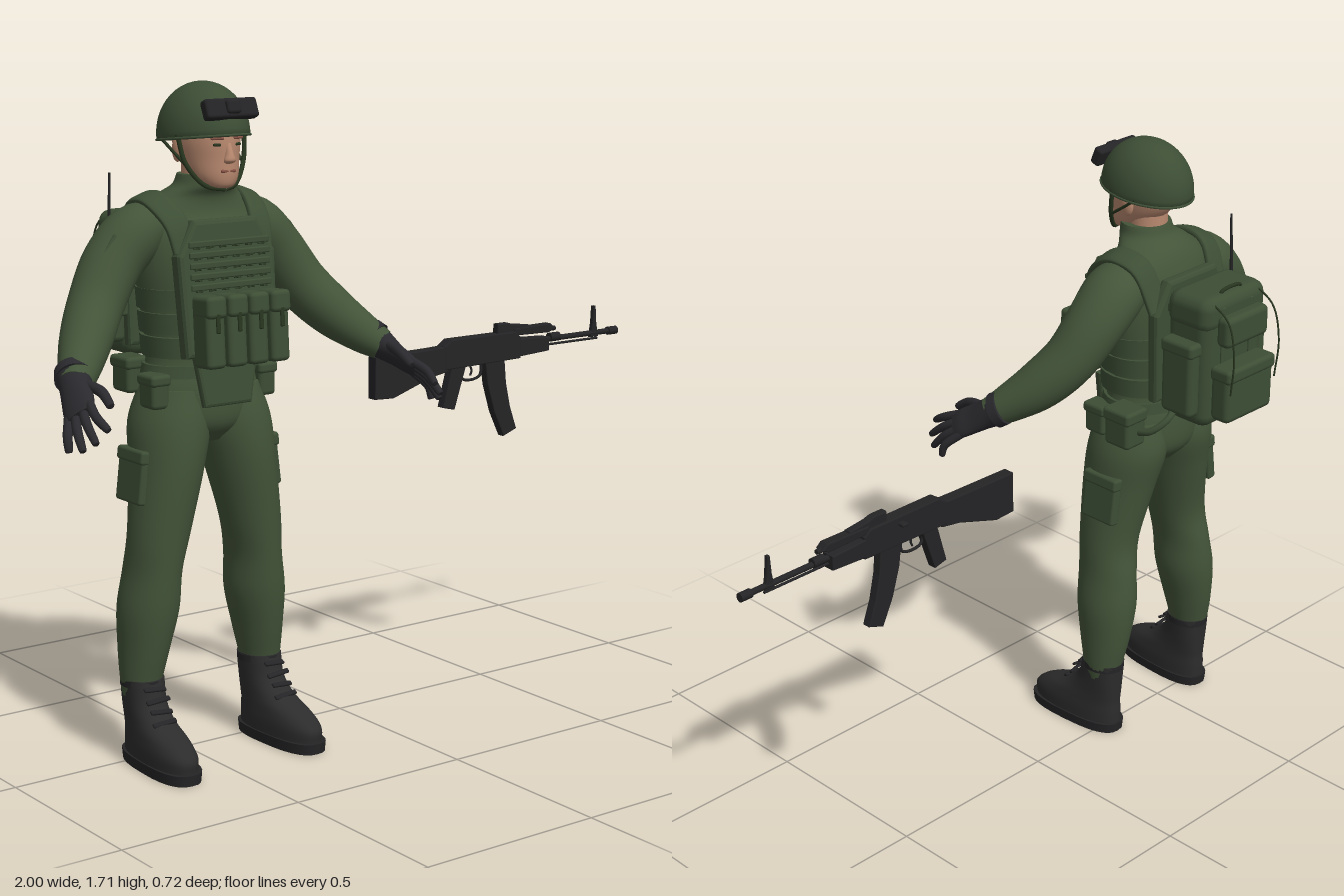
import * as THREE from 'three';
import { RoundedBoxGeometry } from 'three/addons/geometries/RoundedBoxGeometry.js';

const paint = (name, color) => Object.assign(new THREE.MeshStandardMaterial({ color }), { name });
const M = {
  cloth: paint('uniform green', 0x435439),
  gear: paint('gear green', 0x3d4e35),
  trim: paint('dark green trim', 0x28351f),
  skin: paint('skin', 0xba8a70),
  lip: paint('lips', 0x8a5548),
  black: paint('boot black', 0x2c2c2d),
  glove: paint('glove black', 0x2a2a2e),
  gun: paint('gun metal', 0x242426),
};
const V = (x, y, z) => new THREE.Vector3(x, y, z);

function add(parent, name, geo, mat, pos = [0, 0, 0], rot = [0, 0, 0]) {
  const m = new THREE.Mesh(geo, mat);
  m.name = name;
  m.position.set(...pos);
  m.rotation.set(...rot);
  parent.add(m);
  return m;
}
const box = (p, name, mat, size, pos, rot, r = 0.008) =>
  add(p, name, new RoundedBoxGeometry(...size, 2, Math.min(r, Math.min(...size) * 0.45)), mat, pos, rot);
const tube = (p, name, mat, pts, r, n = 24) =>
  add(p, name, new THREE.TubeGeometry(new THREE.CatmullRomCurve3(pts.map((q) => V(...q))), n, r, 8), mat);

// Smooth skin over elliptical sections [x, y, z, a, b]; without ref the rings stay level
function loft(secs, { ref = null, steps = 5, n = 28, e = 1 } = {}) {
  if (secs.length === 2) secs = [secs[0], secs[0].map((v, i) => (v + secs[1][i]) / 2), secs[1]];
  const path = new THREE.CatmullRomCurve3(secs.map((s) => V(s[0], s[1], s[2])), false, 'catmullrom');
  const radii = new THREE.CatmullRomCurve3(secs.map((s) => V(s[3], s[4], 0)), false, 'catmullrom');
  const rows = (secs.length - 1) * steps, pos = [], idx = [];
  const pw = (v) => Math.sign(v) * Math.abs(v) ** e;
  const level = V(0, Math.sign(secs.at(-1)[1] - secs[0][1]), 0);
  for (let i = 0; i <= rows; i++) {
    const c = path.getPoint(i / rows), r = radii.getPoint(i / rows);
    const t = ref ? path.getTangent(i / rows) : level;
    const u = V().crossVectors(t, ref || V(0, 0, 1)).normalize(), w = V().crossVectors(t, u);
    for (let j = 0; j < n; j++) {
      const a = (j / n) * Math.PI * 2;
      const q = c.clone().addScaledVector(u, r.x * pw(Math.cos(a))).addScaledVector(w, r.y * pw(Math.sin(a)));
      pos.push(q.x, q.y, q.z);
      const k = (j + 1) % n, o = i * n;
      if (i < rows) idx.push(o + j, o + k, o + n + k, o + j, o + n + k, o + n + j);
    }
  }
  // End caps with their own vertices so the edges stay sharp
  for (const [row, turn] of [[0, 1], [rows, 0]]) {
    const c = pos.length / 3;
    pos.push(...path.getPoint(row / rows).toArray(), ...pos.slice(row * n * 3, (row + 1) * n * 3));
    for (let j = 0; j < n; j++) {
      const k = (j + 1) % n;
      idx.push(c, c + 1 + (turn ? k : j), c + 1 + (turn ? j : k));
    }
  }
  const g = new THREE.BufferGeometry();
  g.setAttribute('position', new THREE.Float32BufferAttribute(pos, 3));
  g.setIndex(idx);
  g.computeVertexNormals();
  return g;
}

// Flat outline with thickness, centred on z
function plate(p, name, mat, pts, depth, pos, rot, bevel = 0.004) {
  const g = new THREE.ExtrudeGeometry(new THREE.Shape(pts.map((q) => new THREE.Vector2(...q))),
    { depth: depth - bevel * 2, bevelSize: bevel, bevelThickness: bevel, bevelOffset: -bevel, bevelSegments: 2 });
  return add(p, name, g.translate(0, 0, bevel - depth / 2), mat, pos, rot);
}

function buildBody(g) {
  add(g, 'torso', loft([[0, .82, .01, .05, .07], [0, .87, .01, .15, .11], [0, .95, .01, .162, .115], [0, 1.03, .01, .142, .105],
    [0, 1.12, .01, .15, .11], [0, 1.25, .012, .17, .118], [0, 1.34, .01, .174, .11], [0, 1.395, .005, .16, .09],
    [0, 1.435, .015, .115, .078], [0, 1.462, .04, .08, .07], [0, 1.49, .047, .07, .064]]), M.cloth);
  for (const s of [1, -1]) {
    add(g, 'leg', loft([[.085, .96, .01, .07, .1], [.092, .87, .012, .098, .117], [.109, .76, .025, .09, .108], [.138, .6, .032, .077, .088],
      [.153, .5, .022, .069, .09], [.163, .4, .014, .075, .09], [.174, .3, .009, .063, .077], [.182, .22, .007, .053, .06],
      [.185, .17, .007, .045, .05]].map(([x, ...r]) => [x * s, ...r])), M.cloth);
    add(g, 'arm', loft([[.1, 1.365, 0, .055, .068], [.17, 1.345, -.003, .075, .084], [.24, 1.28, 0, .074, .08], [.305, 1.188, .028, .069, .073],
      [.365, 1.115, .08, .064, .067], [.42, 1.06, .14, .052, .052], [.455, 1.03, .18, .04, .04]]
      .map(([x, ...r]) => [x * s, ...r]), { ref: V(0, 0.3, 1) }), M.cloth);
    box(g, 'sleevePocket', M.gear, [.012, .1, .07], [s * .283, 1.315, .015], [0, 0, s * .66]);
    box(g, 'cargoPocket', M.gear, [.03, .13, .115], [s * .195, .74, .01], [0, 0, s * .12]);
    box(g, 'cargoFlap', M.gear, [.034, .035, .12], [s * .192, .795, .01], [0, 0, s * .12]);
    buildHand(g, s);
    buildBoot(g, s);
  }
}

function buildHand(g, s) {
  // f runs to the fingertips, w towards the thumb, n out of the back of the hand
  const d = V(.37, -.49, .79), w = V(-.538, .574, .608), n = V(.75, .65, .05);
  const P = (f, a, b = 0) => {
    const q = V(.455, 1.03, .18).addScaledVector(d, f).addScaledVector(w, a).addScaledVector(n, b);
    return [q.x * s, q.y, q.z];
  };
  const ref = V(n.x * s, n.y, n.z);
  add(g, 'glove', loft([[...P(-.035, 0), .047, .045], [...P(0, 0), .042, .037], [...P(.05, 0), .043, .025],
    [...P(.09, 0), .043, .02], [...P(.115, 0), .036, .013]], { ref, n: 20 }), M.glove);
  add(g, 'gloveCuff', loft([[...P(-.045, 0), .047, .047], [...P(-.02, 0), .049, .047]], { ref, steps: 2 }), M.glove);
  const finger = (name, a, b, c, r) => add(g, name,
    loft([[...a, r, r], [...b, r, r], [...c, r * .8, r * .8], [...c.map((v, i) => v + (c[i] - b[i]) * .12), r * .3, r * .3]], { ref, n: 10, steps: 4 }), M.glove);
  [.19, .205, .2, .175].forEach((len, i) => {
    const a = .031 - i * .021;
    finger('finger', P(.095, a), P(.15, a * 1.35, -.002), P(len, a * 1.8, -.02), .0115);
  });
  finger('thumb', P(.025, .03), P(.07, .062, -.01), P(.115, .072, -.022), .013);
}

function buildBoot(g, s) {
  const b = new THREE.Group();
  b.name = 'boot';
  b.position.x = s * .18;
  b.rotation.y = s * .05;
  g.add(b);
  add(b, 'bootUpper', loft([[0, .025, .1, .056, .148], [0, .06, .1, .056, .148], [0, .09, .08, .053, .126], [0, .12, .043, .05, .09],
    [0, .16, .018, .05, .067], [0, .22, .008, .052, .06]], { e: .85 }), M.black);
  add(b, 'sole', loft([[0, 0, .102, .058, .154], [0, .028, .102, .06, .157]], { steps: 1, e: .75 }), M.gun);
  for (let i = 0; i < 5; i++)
    box(b, 'lace', M.gun, [.065, .008, .014], [0, .1 + i * .025, .138 - i * .016], [.6, 0, (i % 2 - .5) * .25]);
  add(b, 'bootCollar', loft([[0, .2, .008, .054, .062], [0, .218, .008, .054, .062]], { steps: 1 }), M.gun);
}

function buildHead(g) {
  add(g, 'neck', new THREE.CylinderGeometry(.052, .052, .12, 24), M.skin, [0, 1.53, .038]);
  add(g, 'head', loft([[0, 1.457, .12, .02, .02], [0, 1.467, .11, .04, .042], [0, 1.49, .09, .057, .068], [0, 1.53, .066, .068, .093],
    [0, 1.58, .055, .075, .105], [0, 1.64, .05, .07, .1], [0, 1.67, .05, .045, .06]]), M.skin);
  add(g, 'nose', loft([[0, 1.572, .15, .008, .01], [0, 1.545, .157, .011, .014], [0, 1.528, .16, .016, .014], [0, 1.52, .155, .01, .008]], { n: 12 }), M.skin);
  box(g, 'mouth', M.lip, [.042, .009, .009], [0, 1.502, .154]);
  for (const s of [1, -1]) {
    box(g, 'eye', M.trim, [.02, .007, .008], [s * .03, 1.566, .151], [0, s * .3, 0]);
    box(g, 'brow', M.lip, [.034, .008, .009], [s * .03, 1.582, .152], [0, s * .3, 0]);
    add(g, 'ear', new THREE.SphereGeometry(1, 12, 10), M.skin, [s * .076, 1.55, .045]).scale.set(.01, .03, .02);
    tube(g, 'chinStrap', M.trim, [[s * .098, 1.59, .08], [s * .085, 1.52, .095], [s * .045, 1.466, .12], [0, 1.456, .14]], .006);
    tube(g, 'napeStrap', M.trim, [[s * .098, 1.58, .0], [s * .09, 1.545, .05], [s * .083, 1.515, .095]], .004);
  }
  // Helmet shell with real thickness, tipped back a little
  const h = new THREE.Group();
  h.name = 'helmet';
  h.position.set(0, 1.585, .045);
  h.rotation.x = -.1;
  g.add(h);
  const arc = (r, from, to) => Array.from({ length: 13 }, (_, i) => {
    const a = from + (to - from) * i / 12;
    return new THREE.Vector2(Math.max(r * Math.cos(a), 0.0001), r * Math.sin(a));
  });
  const top = Math.PI / 2;
  add(h, 'helmetShell', new THREE.LatheGeometry([...arc(.93, top, -.08), ...arc(1, -.08, top)], 40), M.gear).scale.set(.107, .13, .135);
  const rim = add(h, 'helmetRim', new THREE.TorusGeometry(1, .035, 8, 40), M.gear, [0, -.008, 0], [Math.PI / 2, 0, 0]);
  rim.scale.set(.106, .134, .1);
  box(h, 'visorPlate', M.gun, [.15, .05, .03], [0, .055, .124], [-.3, 0, 0]);
  box(h, 'mountBlock', M.gun, [.04, .035, .02], [0, .06, .138], [-.2, 0, 0]);
}

function buildVest(g) {
  const v = new THREE.Group();
  v.name = 'vest';
  g.add(v);
  const outline = [[-.135, -.15], [.135, -.15], [.142, .1], [.092, .185], [-.092, .185], [-.142, .1]];
  plate(v, 'frontPlate', M.gear, outline, .045, [0, 1.2, .138], [-.1, 0, 0], .012);
  plate(v, 'backPlate', M.gear, outline, .035, [0, 1.2, -.11], [0, 0, 0], .01);
  plate(v, 'groinFlap', M.gear, [[-.07, -.065], [.07, -.065], [.092, .06], [-.092, .06]], .024, [0, .985, .134], [-.06, 0, 0], .008);
  // Webbing rows on the chest
  for (let i = 0; i < 5; i++) {
    const y = 1.225 + i * .026, z = .167 - (y - 1.2) * .1;
    box(v, 'webbing', M.gear, [.235, .016, .008], [0, y, z]);
    for (let j = 0; j < 6; j++) box(v, 'webbingSlot', M.trim, [.02, .003, .005], [(j - 2.5) * .038, y - .01, z + .001]);
  }
  for (let i = 0; i < 3; i++)
    add(v, 'cummerbund', loft([[0, 1.04 + i * .06, .013, .15 + i * .006, .117], [0, 1.092 + i * .06, .013, .154 + i * .006, .119]], { steps: 2, e: .9 }), M.gear);
  add(v, 'belt', loft([[0, .99, .01, .158, .119], [0, 1.02, .01, .152, .115]], { steps: 2 }), M.gear);
  for (const s of [1, -1])
    add(v, 'shoulderStrap', loft([[.112, 1.31, .13], [.122, 1.375, .107], [.135, 1.42, .055], [.138, 1.434, 0], [.132, 1.41, -.065], [.118, 1.31, -.11]]
      .map(([x, y, z]) => [x * s, y, z, .01, .032]), { ref: V(1, -.35 * s, 0).normalize(), e: .6 }), M.gear);
  // Magazine pouches
  for (let i = 0; i < 4; i++) {
    const x = (i - 1.5) * .063;
    box(v, 'magazinePouch', M.gear, [.054, .165, .07], [x, 1.115, .205], [-.06, 0, 0], .012);
    box(v, 'pouchFlap', M.gear, [.057, .055, .078], [x, 1.183, .207], [-.06, 0, 0], .012);
    box(v, 'pouchTab', M.trim, [.012, .055, .006], [x, 1.15, .245], [-.06, 0, 0]);
  }
  // Hip pouches
  const pouch = (size, [x, y, z]) => {
    box(v, 'hipPouch', M.gear, size, [x, y, z], [0, 0, 0], .012);
    box(v, 'hipPouchFlap', M.gear, [size[0] + .008, size[1] * .35, size[2] + .008], [x, y + size[1] * .35, z], [0, 0, 0], .01);
  };
  for (const s of [1, -1]) pouch([.05, .085, .07], [s * .16, .96, .055]);
  pouch([.075, .105, .085], [.205, .995, -.08]);
  pouch([.06, .09, .08], [-.15, .985, -.075]);
  // Radio
  box(v, 'radioPouch', M.gear, [.055, .14, .05], [-.175, 1.2, -.1]);
  box(v, 'radio', M.gun, [.042, .16, .036], [-.175, 1.235, -.1]);
  add(v, 'antenna', new THREE.CylinderGeometry(.003, .005, .19, 8), M.gun, [-.19, 1.395, -.093], [.05, 0, 0]);
}

function buildBackpack(g) {
  const b = new THREE.Group();
  b.name = 'backpack';
  g.add(b);
  box(b, 'packBody', M.gear, [.235, .365, .145], [0, 1.195, -.207], [0, 0, 0], .035);
  box(b, 'packLid', M.gear, [.245, .1, .15], [0, 1.33, -.208], [0, 0, 0], .035);
  box(b, 'lowerPocket', M.gear, [.185, .15, .065], [0, 1.115, -.305], [0, 0, 0], .018);
  box(b, 'lowerPocketFlap', M.gear, [.19, .04, .07], [0, 1.175, -.307], [0, 0, 0], .012);
  box(b, 'upperPocket', M.gear, [.165, .085, .045], [0, 1.29, -.3], [0, 0, 0], .016);
  tube(b, 'carryHandle', M.trim, [[-.04, 1.365, -.25], [-.035, 1.382, -.255], [.035, 1.382, -.255], [.04, 1.365, -.25]], .005);
  tube(b, 'packHose', M.gear, [[.1, 1.07, -.16], [.15, 1.04, -.19], [.19, 1.0, -.16], [.195, .98, -.1]], .01);
  for (const s of [1, -1]) {
    box(b, 'sidePocket', M.gear, [.045, .2, .105], [s * .13, 1.15, -.205], [0, 0, 0], .016);
    box(b, 'sideFlap', M.gear, [.05, .04, .11], [s * .13, 1.24, -.205], [0, 0, 0], .012);
    box(b, 'packStrap', M.gear, [.014, .3, .006], [s * .055, 1.2, -.281]);
    tube(b, 'compressionCord', M.trim, [[s * .085, 1.375, -.25], [s * .088, 1.33, -.325], [s * .09, 1.24, -.35], [s * .088, 1.13, -.342]], .0025);
  }
  for (const y of [1.1, 1.32]) box(b, 'packMount', M.gear, [.2, .03, .03], [0, y, -.13]);
}

function buildRifle() {
  const r = new THREE.Group();
  r.name = 'rifle';
  const part = (name, pts, depth) => plate(r, name, M.gun, pts, depth, [0, 0, 0], [0, 0, 0], .003);
  const rod = (name, rad, x0, x1, y) => add(r, name, new THREE.CylinderGeometry(rad, rad, x1 - x0, 12), M.gun, [(x0 + x1) / 2, y, 0], [0, 0, Math.PI / 2]);
  part('stock', [[.108, .96], [.107, .846], [.17, .843], [.3, .885], [.36, .895], [.36, .965], [.3, .963]], .034);
  part('receiver', [[.345, .9], [.62, .905], [.62, .965], [.6, .982], [.37, .982], [.345, .965]], .036);
  part('pistolGrip', [[.345, .795], [.385, .785], [.425, .905], [.375, .905]], .028);
  part('magazine', [[.495, .91], [.565, .91], [.572, .84], [.588, .77], [.612, .705], [.565, .688], [.53, .76], [.505, .84]], .026);
  part('handguard', [[.615, .91], [.725, .916], [.725, .955], [.615, .96]], .038);
  part('upperGuard', [[.6, .97], [.73, .967], [.75, .978], [.735, .992], [.6, .99]], .028);
  part('rearSight', [[.54, .978], [.665, .978], [.66, .995], [.6, 1.002], [.58, 1.008], [.54, 1.008]], .022);
  part('frontSight', [[.895, .935], [.925, .935], [.917, .975], [.913, 1.025], [.905, 1.025], [.902, .975]], .014);
  tube(r, 'triggerGuard', M.gun, [[.415, .905], [.42, .868], [.45, .86], [.485, .87], [.49, .905]].map((p) => [...p, 0]), .004);
  tube(r, 'trigger', M.gun, [[.45, .9, 0], [.455, .885, 0], [.45, .872, 0]], .003, 8);
  rod('barrel', .008, .7, .998, .946);
  rod('muzzle', .012, .965, .998, .946);
  rod('gasTube', .007, .72, .76, .975);
  rod('gasBlock', .013, .74, .775, .95);
  rod('cleaningRod', .0035, .72, .925, .93);
  box(r, 'boltHandle', M.gun, [.02, .01, .03], [.5, .962, -.02]);
  return r;
}

export function createModel() {
  const model = new THREE.Group();
  model.name = 'soldierWithRifle';
  const soldier = new THREE.Group();
  soldier.name = 'soldier';
  soldier.position.x = -.453;
  for (const build of [buildBody, buildHead, buildVest, buildBackpack]) build(soldier);
  model.add(soldier, buildRifle());
  return model;
}
